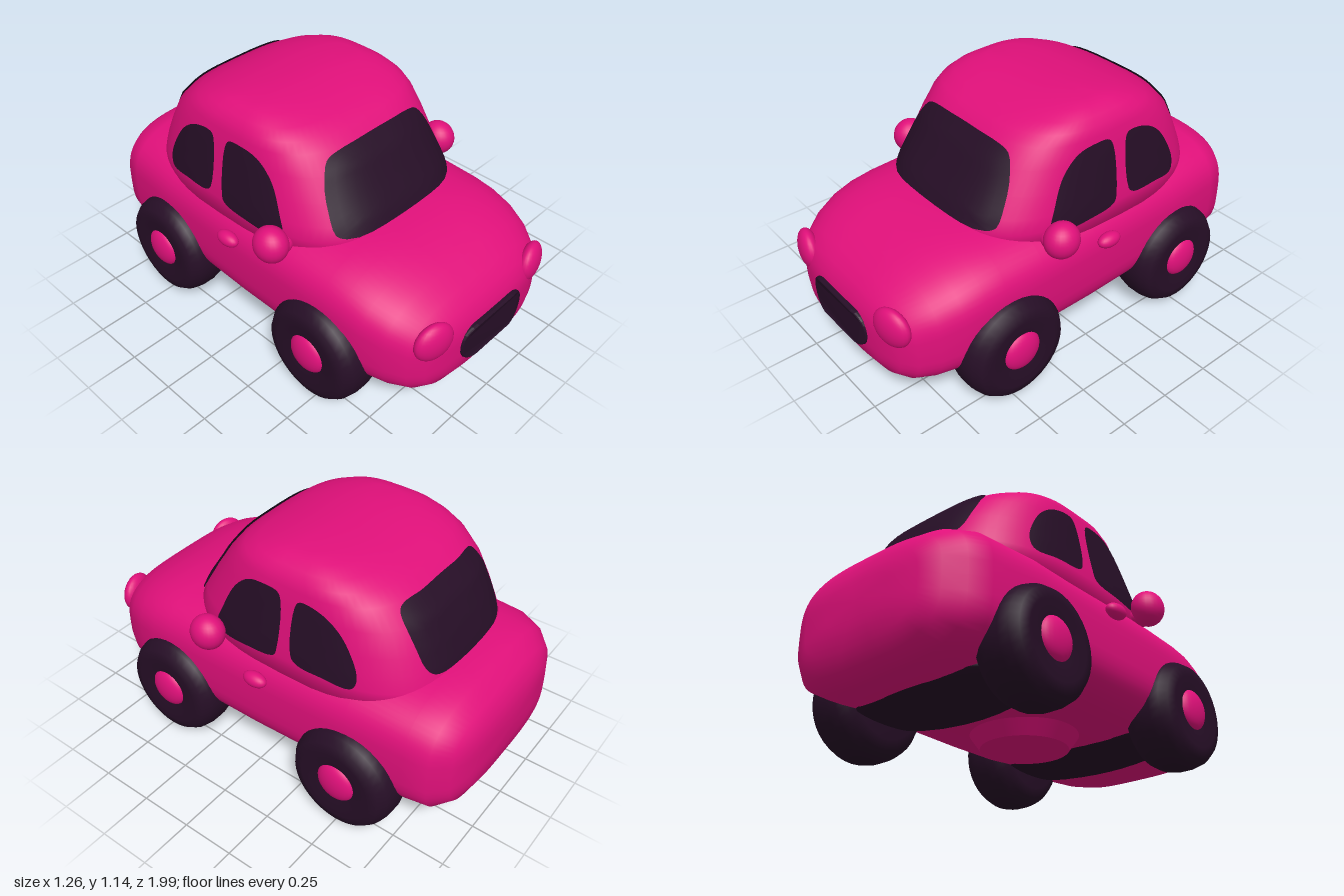
import * as THREE from 'three';

const paint = new THREE.MeshStandardMaterial({ color: 0xe0107a });
paint.name = 'pinkPaint';
const dark = new THREE.MeshStandardMaterial({ color: 0x260e26, side: THREE.DoubleSide });
dark.name = 'darkRubberAndGlass';

const SEG = 64;
const power = (v, p) => Math.sign(v) * Math.abs(v) ** p;

// Skin through closed rings of points, with a fan at each end
function loft(rings) {
  const pos = rings.flat(2), idx = [], last = rings.length - 1;
  for (let i = 0; i < last; i++) {
    for (let j = 0; j < SEG; j++) {
      const k = (j + 1) % SEG;
      const a = i * SEG + j, b = i * SEG + k, c = b + SEG, d = a + SEG;
      idx.push(a, b, c, a, c, d);
    }
  }
  for (const end of [0, last]) {
    const mid = [0, 1, 2].map(n => rings[end].reduce((s, p) => s + p[n], 0) / SEG);
    const c = pos.length / 3;
    pos.push(...mid);
    for (let j = 0; j < SEG; j++) {
      const a = end * SEG + j, b = end * SEG + (j + 1) % SEG;
      if (end) idx.push(c, a, b); else idx.push(c, b, a);
    }
  }
  const geo = new THREE.BufferGeometry();
  geo.setAttribute('position', new THREE.Float32BufferAttribute(pos, 3));
  geo.setIndex(idx);
  geo.computeVertexNormals();
  return geo;
}

// Superellipse ring, as pairs in -1..1
const ring = (n, place) => Array.from({ length: SEG }, (_, j) => {
  const t = j / SEG * Math.PI * 2;
  return place(power(Math.cos(t), 2 / n), power(Math.sin(t), 2 / n));
});

// Lower body stations: z, half width, bottom, top
const BODY = [
  [-1.0, 0.18, 0.34, 0.52], [-0.985, 0.33, 0.25, 0.59], [-0.95, 0.42, 0.18, 0.65],
  [-0.88, 0.49, 0.135, 0.7], [-0.78, 0.52, 0.14, 0.73], [-0.5, 0.54, 0.15, 0.735],
  [0, 0.55, 0.14, 0.725], [0.3, 0.55, 0.14, 0.72], [0.5, 0.545, 0.14, 0.712],
  [0.6, 0.54, 0.135, 0.7], [0.7, 0.525, 0.13, 0.675], [0.8, 0.49, 0.13, 0.635],
  [0.88, 0.44, 0.14, 0.585], [0.93, 0.38, 0.17, 0.54], [0.962, 0.29, 0.22, 0.49], [0.977, 0.16, 0.28, 0.43]
];

// Cabin levels: y, front z, back z, half width
const CABIN = [
  [0.58, 0.5, -0.82, 0.51], [0.7, 0.5, -0.78, 0.505], [0.76, 0.47, -0.76, 0.497],
  [0.85, 0.41, -0.72, 0.482], [0.95, 0.345, -0.665, 0.465], [1.03, 0.28, -0.585, 0.45],
  [1.07, 0.23, -0.515, 0.432], [1.1, 0.16, -0.44, 0.405], [1.125, 0.07, -0.35, 0.365],
  [1.138, -0.01, -0.26, 0.31], [1.144, -0.08, -0.17, 0.18]
];
const CABIN_N = 3.2;

// Cabin centre, half length and half width at a height
function cabinAt(y) {
  let i = 0;
  while (i < CABIN.length - 2 && CABIN[i + 1][0] < y) i++;
  const t = (y - CABIN[i][0]) / (CABIN[i + 1][0] - CABIN[i][0]);
  const [f, b, w] = [1, 2, 3].map(k => CABIN[i][k] + (CABIN[i + 1][k] - CABIN[i][k]) * t);
  return { c: (f + b) / 2, l: (f - b) / 2, w };
}
const bulge = r => Math.max(0, 1 - Math.abs(r) ** CABIN_N) ** (1 / CABIN_N);
const GAP = 0.008;
const onEnd = s => (x, y) => {
  const { c, l, w } = cabinAt(y);
  return [x, y + GAP * 0.5, c + s * (l * bulge(x / w) + GAP)];
};
const onSide = s => (z, y) => {
  const { c, l, w } = cabinAt(y);
  return [s * (w * bulge((z - c) / l) + GAP), y, z];
};

// Thin pane: a smoothed outline filled with rings and laid on the cabin
function pane(outline, place) {
  const pts = new THREE.CatmullRomCurve3(
    outline.map(([a, b]) => new THREE.Vector3(a, b, 0)), true, 'centripetal').getPoints(48).slice(0, -1);
  const n = pts.length, rows = 8, pos = [], idx = [];
  const mid = pts.reduce((s, p) => s.add(p), new THREE.Vector3()).divideScalar(n);
  pos.push(...place(mid.x, mid.y));
  for (let r = 1; r <= rows; r++) {
    for (const p of pts) {
      const q = mid.clone().lerp(p, r / rows);
      pos.push(...place(q.x, q.y));
    }
  }
  for (let j = 0; j < n; j++) {
    const k = (j + 1) % n;
    idx.push(0, 1 + j, 1 + k);
    for (let r = 0; r < rows - 1; r++) {
      const a = 1 + r * n + j, b = 1 + r * n + k;
      idx.push(a, a + n, b + n, a, b + n, b);
    }
  }
  const geo = new THREE.BufferGeometry();
  geo.setAttribute('position', new THREE.Float32BufferAttribute(pos, 3));
  geo.setIndex(idx);
  geo.computeVertexNormals();
  return geo;
}

const mirrored = half => [...half, ...half.slice().reverse().map(([x, y]) => [-x, y])];

export function createModel() {
  const car = new THREE.Group();
  car.name = 'car';
  const add = (name, geo, mat, at = [0, 0, 0], scale = [1, 1, 1]) => {
    const m = new THREE.Mesh(geo, mat);
    m.name = name;
    m.position.set(...at);
    m.scale.set(...scale);
    car.add(m);
    return m;
  };
  const ball = new THREE.SphereGeometry(1, 24, 16);

  // Shell
  add('lowerBody', loft(BODY.map(([z, w, y0, y1]) =>
    ring(3.3, (u, v) => [w * u, (y0 + y1) / 2 + (y1 - y0) / 2 * v, z]))), paint);
  add('cabin', loft(CABIN.map(([y, f, b, w]) =>
    ring(CABIN_N, (u, v) => [w * u, y, (f + b) / 2 - (f - b) / 2 * v]))), paint);

  // Front and rear glass
  add('windshield', pane(mirrored([[0.15, 0.715], [0.33, 0.712], [0.362, 0.73], [0.355, 0.82],
    [0.325, 0.93], [0.28, 1.0], [0.22, 1.02], [0.1, 1.028]]), onEnd(1)), dark);
  add('rearWindow', pane(mirrored([[0.12, 0.735], [0.25, 0.745], [0.285, 0.78], [0.298, 0.88],
    [0.295, 0.98], [0.265, 1.02], [0.12, 1.03]]), onEnd(-1)), dark);

  // Grille, bent to follow the nose
  const slot = new THREE.Shape();
  slot.moveTo(-0.12, -0.085);
  slot.lineTo(0.12, -0.085);
  slot.bezierCurveTo(0.23, -0.085, 0.23, 0.085, 0.12, 0.085);
  slot.lineTo(-0.12, 0.085);
  slot.bezierCurveTo(-0.23, 0.085, -0.23, -0.085, -0.12, -0.085);
  const grille = new THREE.ExtrudeGeometry(slot, {
    depth: 0.06, bevelSize: 0.005, bevelThickness: 0.01, bevelSegments: 2, curveSegments: 12 });
  const gp = grille.attributes.position;
  for (let i = 0; i < gp.count; i++) gp.setZ(i, gp.getZ(i) - 0.5 * gp.getX(i) ** 2);
  grille.computeVertexNormals();
  add('grille', grille, dark, [0, 0.366, 0.93]);

  // Underside: round pan and dark wheel wells
  add('underPan', new THREE.CylinderGeometry(0.25, 0.2, 0.07, 40), paint, [0, 0.115, 0]);
  for (const z of [0.47, -0.51]) add('wheelWell', ball, dark, [0, 0.17, z], [0.46, 0.05, 0.27]);

  // Tyre profile: radius, distance along the axle
  const tyre = new THREE.LatheGeometry([[0, -0.135], [0.17, -0.13], [0.215, -0.105], [0.24, -0.065],
    [0.25, -0.02], [0.25, 0.04], [0.24, 0.085], [0.215, 0.12], [0.17, 0.132], [0.1, 0.12], [0, 0.11]]
    .map(p => new THREE.Vector2(...p)), 36);
  const sideFront = [[0.222, 0.7], [0.19, 0.8], [0.13, 0.92], [0.05, 0.99], [-0.04, 1.008], [-0.115, 1.0],
    [-0.135, 0.96], [-0.135, 0.76], [-0.118, 0.705], [0.03, 0.682], [0.19, 0.678]];
  const sideRear = [[-0.208, 0.74], [-0.205, 0.96], [-0.225, 0.997], [-0.32, 0.99], [-0.41, 0.94],
    [-0.48, 0.85], [-0.518, 0.75], [-0.5, 0.702], [-0.37, 0.705], [-0.24, 0.712]];

  // Paired parts
  for (const s of [1, -1]) {
    const side = s > 0 ? 'left' : 'right';
    add(side + 'FrontWindow', pane(sideFront, onSide(s)), dark);
    add(side + 'RearWindow', pane(sideRear, onSide(s)), dark);
    for (const [end, z] of [['Front', 0.47], ['Rear', -0.51]]) {
      add(side + end + 'Tyre', tyre, dark, [s * 0.48, 0.25, z]).rotation.z = -s * Math.PI / 2;
      add(side + end + 'Hub', ball, paint, [s * 0.59, 0.26, z], [0.042, 0.095, 0.095]);
    }
    add(side + 'Headlight', ball, paint, [s * 0.335, 0.472, 0.925], [0.095, 0.092, 0.045]).rotation.y = s * 0.25;
    add(side + 'Mirror', ball, paint, [s * 0.55, 0.69, 0.22], [0.074, 0.082, 0.082]);
    add(side + 'MirrorArm', ball, paint, [s * 0.5, 0.66, 0.22], [0.07, 0.045, 0.05]);
    add(side + 'DoorHandle', ball, paint, [s * 0.56, 0.567, -0.05], [0.035, 0.034, 0.06]);
  }
  return car;
}
